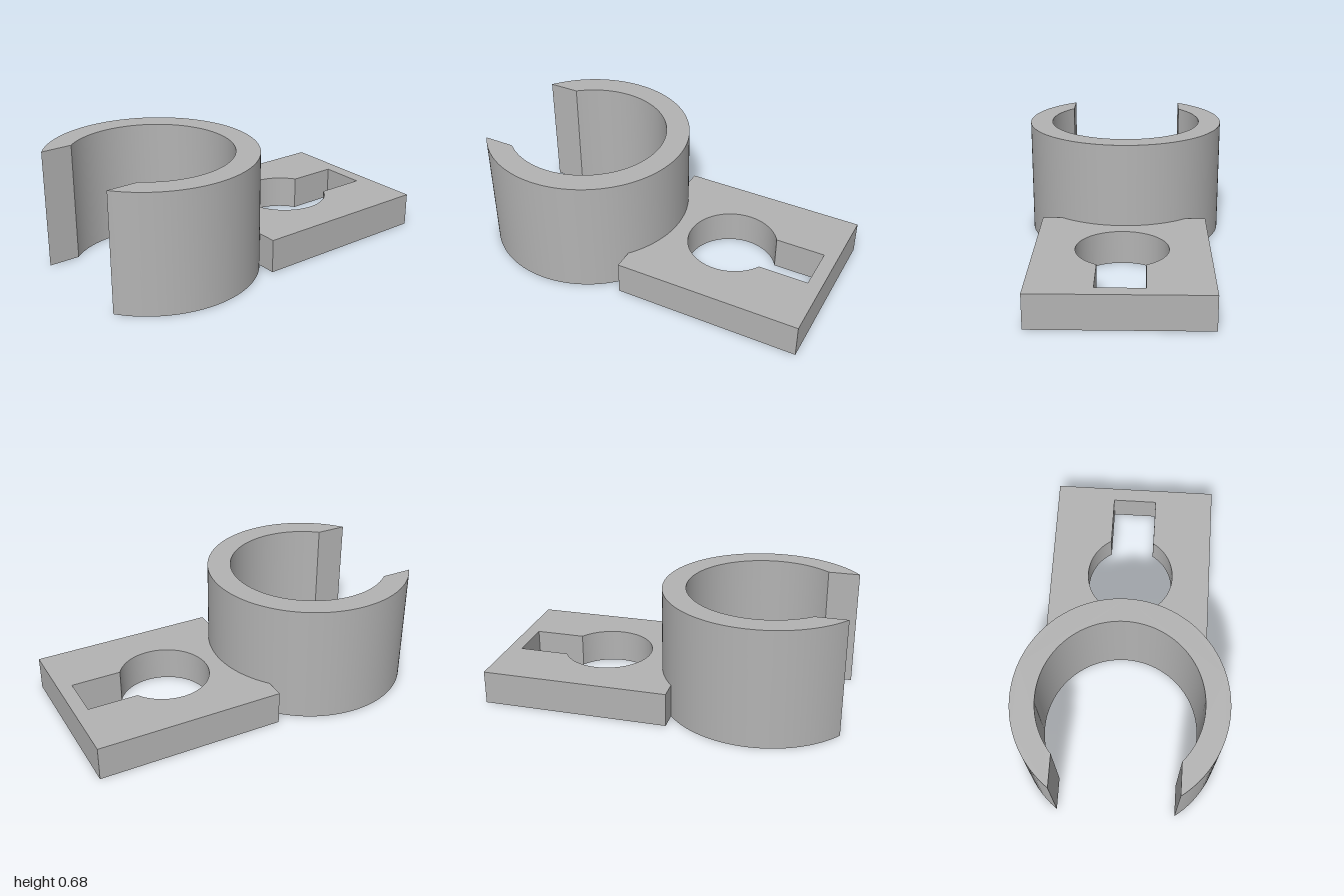
import * as THREE from 'three';
import { toCreasedNormals } from 'three/addons/utils/BufferGeometryUtils.js';

// Plan shapes are drawn with shape y = -z, then laid flat and raised along y.
function raise(name, shape, height, material) {
  const geo = new THREE.ExtrudeGeometry(shape, { depth: height, bevelEnabled: false, curveSegments: 64 });
  geo.rotateX(-Math.PI / 2);
  const mesh = new THREE.Mesh(toCreasedNormals(geo, 0.4), material);
  mesh.name = name;
  return mesh;
}

export function createModel() {
  const group = new THREE.Group();
  group.name = 'pipeClip';
  const grey = new THREE.MeshStandardMaterial({ color: 0xb3b3b3 });
  grey.name = 'grey';

  // Open clip ring with parallel-cut jaws facing the front
  const outer = 0.585, inner = 0.452, gap = 0.34, cy = -0.523;
  const ao = Math.acos(gap / outer), ai = Math.acos(gap / inner);
  const ring = new THREE.Shape();
  ring.absarc(0, cy, outer, -ao, Math.PI + ao, false);
  ring.absarc(0, cy, inner, Math.PI + ai, -ai, true);
  ring.closePath();
  group.add(raise('clipRing', ring, 0.675, grey));

  // Mounting plate, its front edge scooped to meet the ring
  const w = 0.48, front = -0.067, seat = outer - 0.006;
  const as = Math.asin((front - cy) / seat);
  const plate = new THREE.Shape();
  plate.moveTo(-w, 1);
  plate.lineTo(-w, front);
  plate.absarc(0, cy, seat, Math.PI - as, as, true);
  plate.lineTo(w, front);
  plate.lineTo(w, 1);
  plate.closePath();

  // Keyhole: round opening with a square-ended slot behind it
  const r = 0.256, slot = 0.13, ky = 0.412;
  const ak = Math.acos(slot / r);
  const hole = new THREE.Path();
  hole.moveTo(slot, 0.92);
  hole.lineTo(-slot, 0.92);
  hole.absarc(0, ky, r, Math.PI - ak, Math.PI * 2 + ak, false);
  hole.closePath();
  plate.holes.push(hole);
  group.add(raise('mountingPlate', plate, 0.193, grey));

  return group;
}
